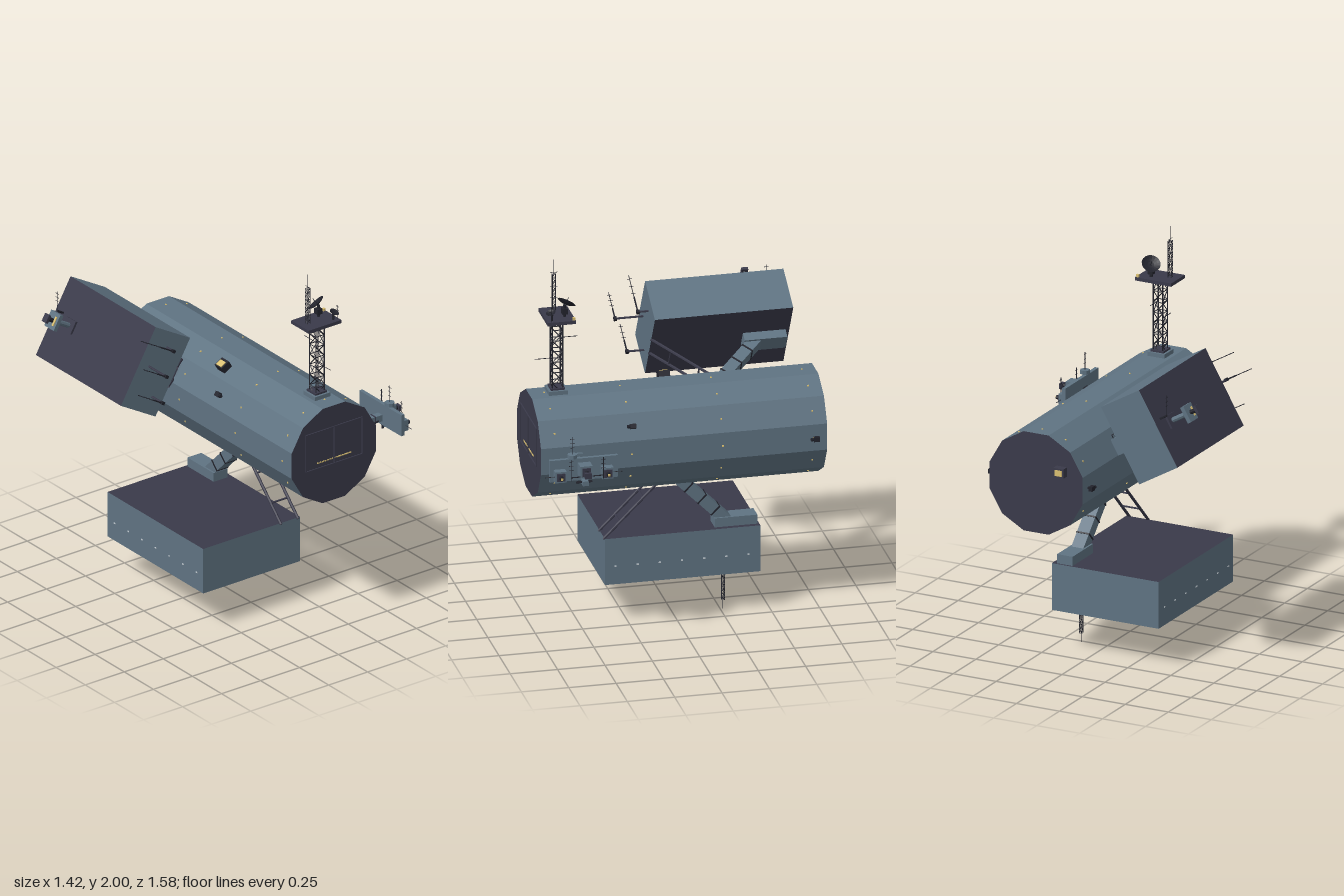
import * as THREE from 'three';

const mat = (name, color, extra = {}) => Object.assign(new THREE.MeshStandardMaterial({ color, ...extra }), { name });
const V = (x, y, z) => new THREE.Vector3(x, y, z);

export function createModel() {
  const hull = mat('hullBlueGrey', 0x5f7382);
  const dark = mat('darkSlate', 0x3a3a4a);
  const black = mat('blackMetal', 0x22232c, { side: THREE.DoubleSide });
  const gold = mat('goldLight', 0xd9bf72);
  const pale = mat('paleWindow', 0xc4ccd2);
  const root = new THREE.Group();
  root.name = 'spaceStation';

  // Helpers: faceted mesh, box, strut between two points, named group
  function add(parent, name, geo, material, x = 0, y = 0, z = 0) {
    const g = geo.index ? geo.toNonIndexed() : geo;
    g.computeVertexNormals();
    const m = new THREE.Mesh(g, material);
    m.name = name;
    m.position.set(x, y, z);
    parent.add(m);
    return m;
  }
  const box = (p, name, w, h, d, m, x, y, z) => add(p, name, new THREE.BoxGeometry(w, h, d), m, x, y, z);
  function bar(p, name, a, b, r, m, sides = 5) {
    const d = b.clone().sub(a), c = a.clone().add(b).multiplyScalar(0.5);
    const mesh = add(p, name, new THREE.CylinderGeometry(r, r, d.length(), sides), m, c.x, c.y, c.z);
    mesh.quaternion.setFromUnitVectors(V(0, 1, 0), d.normalize());
    return mesh;
  }
  function group(p, name, x = 0, y = 0, z = 0) {
    const g = new THREE.Group();
    g.name = name;
    g.position.set(x, y, z);
    p.add(g);
    return g;
  }

  // Square lattice tower rising along local y
  function lattice(p, name, w, h, bays, r) {
    const g = group(p, name), s = w / 2;
    const c = [[-s, -s], [s, -s], [s, s], [-s, s]];
    c.forEach(([x, z], i) => {
      const [x2, z2] = c[(i + 1) % 4];
      bar(g, 'leg', V(x, 0, z), V(x, h, z), r, black, 4);
      for (let k = 0; k < bays; k++) {
        const y0 = h * k / bays, y1 = h * (k + 1) / bays;
        bar(g, 'rung', V(x, y1, z), V(x2, y1, z2), r * 0.7, black, 4);
        bar(g, 'brace', V(x, k % 2 ? y1 : y0, z), V(x2, k % 2 ? y0 : y1, z2), r * 0.7, black, 4);
      }
    });
    return g;
  }

  // Thin whip antenna with cross elements, along local y
  function aerial(p, name, h, r = 0.002) {
    const g = group(p, name);
    bar(g, 'whip', V(0, 0, 0), V(0, h, 0), r, black, 4);
    for (const t of [0.5, 0.7, 0.9])
      bar(g, 'crossElement', V(0, h * t, -0.012), V(0, h * t, 0.012), r * 0.8, black, 4);
    return g;
  }

  function dish(p, name, r, x, y, z, facing) {
    const pts = [0, 0.35, 0.7, 1].map(t => new THREE.Vector2(t * r, t * t * r * 0.28));
    const m = add(p, name, new THREE.LatheGeometry(pts, 16), black, x, y, z);
    m.quaternion.setFromUnitVectors(V(0, 1, 0), facing.normalize());
    return m;
  }

  // Main twelve-sided drum
  const CX = 0.15, CY = 1.02, R = 0.27;
  const drum = group(root, 'mainDrum', CX, CY, 0);
  add(drum, 'drumHull', new THREE.CylinderGeometry(0.28, 0.28, 1.51, 12, 1, false, Math.PI / 12), [hull, dark, dark], 0, 0, 0.005)
    .rotation.x = Math.PI / 2;

  // Front hatch frame and lit window strip
  for (const y of [-0.06, 0.15]) box(drum, 'hatchFrame', 0.36, 0.004, 0.006, dark, 0, y, 0.763);
  for (const x of [-0.18, -0.005, 0.005, 0.18]) box(drum, 'hatchFrame', 0.004, 0.21, 0.006, dark, x, 0.045, 0.763);
  for (let i = 0; i < 14; i++) box(drum, 'frontWindow', 0.011, 0.006, 0.004, gold, -0.104 + i * 0.016, -0.03, 0.762);

  // Marker lights around the drum
  for (let i = 0; i < 12; i++) {
    const a = i * Math.PI / 6;
    for (const z of [0.68, 0.28, -0.2, -0.68])
      box(drum, 'markerLight', 0.008, 0.008, 0.008, gold, Math.cos(a) * R, Math.sin(a) * R, z);
  }

  // Rear lamp and the lamp on the upper shoulder
  box(drum, 'rearLampHousing', 0.06, 0.05, 0.04, dark, -0.15, 0.09, -0.77);
  box(drum, 'rearLampLens', 0.04, 0.032, 0.005, gold, -0.15, 0.09, -0.791);
  const lamp = group(drum, 'shoulderLamp', -0.145, 0.235, 0.015);
  lamp.rotation.z = Math.PI / 6;
  box(lamp, 'lampHousing', 0.055, 0.045, 0.06, black, 0, 0.01, 0);
  box(lamp, 'lampLens', 0.035, 0.005, 0.042, gold, -0.005, 0.035, 0);

  // Small cameras on the drum sides
  for (const [deg, z] of [[150, 0.105], [30, 0.27], [0, -0.69], [180, -0.69]]) {
    const c = group(drum, 'sideCamera', 0, 0, z);
    c.rotation.z = (deg - 90) * Math.PI / 180;
    bar(c, 'cameraPost', V(0, R, 0), V(0, R + 0.02, 0), 0.007, black);
    box(c, 'cameraBody', 0.025, 0.02, 0.032, black, 0, R + 0.022, 0);
    bar(c, 'cameraBarrel', V(0, R + 0.022, 0.01), V(0, R + 0.026, 0.03), 0.009, black, 8);
  }

  // Outrigger: local y points away from the drum axis
  function outrigger(name, angle, w, len, xOff, zMid, strutZ, rodZ) {
    const g = group(drum, name);
    g.rotation.z = angle;
    box(g, 'podBody', w, 0.255, len, [hull, hull, dark, dark, hull, hull], xOff, 0.6725, zMid);
    const zEnd = strutZ - 0.25;
    const strut = group(g, 'mainStrut', 0, 0.385, strutZ - 0.11);
    strut.rotation.x = -Math.PI / 4;
    box(strut, 'strutBeam', 0.07, 0.40, 0.06, hull, 0, 0, 0);
    for (const y of [-0.1, 0, 0.1]) box(strut, 'strutCollar', 0.076, 0.008, 0.066, black, 0, y, 0);
    box(g, 'strutPad', 0.09, 0.05, 0.225, hull, 0, 0.52, zEnd - 0.0375);
    for (const s of [-0.055, 0.055])
      bar(g, 'braceRod', V(s, 0.255, rodZ - 0.015), V(s, 0.55, rodZ + 0.28), 0.008, dark, 6);
    for (const t of [0.25, 0.7])
      bar(g, 'braceRung', V(-0.055, 0.27 + 0.275 * t, rodZ + 0.275 * t), V(0.055, 0.27 + 0.275 * t, rodZ + 0.275 * t), 0.005, dark);
    return g;
  }
  const lower = outrigger('lowerPod', Math.PI, 0.62, 0.82, 0.24, -0.035, -0.035, 0.1);
  const upper = outrigger('upperPod', Math.PI / 3, 0.445, 0.73, 0, -0.355, -0.3, -0.27);

  // Lower pod: windows on both long sides, hanging mast, small dish
  for (let i = 0; i < 7; i++)
    for (const x of [-0.071, 0.551])
      box(lower, 'podWindow', 0.004, 0.006, 0.012, pale, x, 0.7, 0.32 - i * 0.117);
  lattice(lower, 'hangingMast', 0.014, 0.17, 9, 0.0015).position.set(0.005, 0.8, -0.265);
  bar(lower, 'hangingMastTip', V(0.005, 0.96, -0.265), V(0.005, 1.02, -0.265), 0.0015, black, 4);
  bar(lower, 'dishPost', V(0.035, 0.8, -0.35), V(0.035, 0.83, -0.35), 0.004, black);
  dish(lower, 'lowerDish', 0.02, 0.035, 0.825, -0.35, V(0, 0.8, -0.6));

  // Upper pod: three bent aerial booms on the front face [tangent, radius, reach, length]
  for (const [x, y, z, h] of [[0.139, 0.669, 0.065, 0.24], [0.017, 0.731, 0.158, 0.17], [-0.129, 0.624, 0.1, 0.18]]) {
    bar(upper, 'aerialBoom', V(x, y, 0), V(x, y, z), 0.006, dark);
    box(upper, 'aerialJoint', 0.016, 0.02, 0.016, black, x, y, z);
    bar(upper, 'aerialBase', V(x, y, z), V(x, y + h * 0.4, z), 0.004, black);
    aerial(upper, 'boomAerial', h).position.set(x, y, z);
  }

  // Upper pod: sensor arm on the outer face
  const sensor = group(upper, 'podSensor', 0, 0.8, -0.575);
  box(sensor, 'sensorBase', 0.07, 0.012, 0.08, dark, 0, 0.006, 0);
  bar(sensor, 'sensorArm', V(0, 0, 0), V(0, 0.11, 0), 0.014, hull, 8);
  box(sensor, 'sensorPlate', 0.09, 0.022, 0.08, hull, 0, 0.12, 0);
  box(sensor, 'sensorLight', 0.05, 0.006, 0.012, gold, 0, 0.133, 0.02);
  bar(sensor, 'sensorNeck', V(0, 0.13, 0), V(0, 0.17, 0), 0.012, black, 8);
  box(sensor, 'sensorHead', 0.045, 0.016, 0.035, dark, 0, 0.175, 0);
  bar(sensor, 'sideBracket', V(0.04, 0, -0.085), V(0.04, 0.045, -0.085), 0.006, black);
  const whip = aerial(sensor, 'sideAerial', 0.11);
  whip.position.set(0.04, 0.045, -0.085);
  whip.rotation.z = -Math.PI / 3;

  // Top mast with platform
  const mast = group(root, 'topMast', CX, 1.29, 0.615);
  box(mast, 'mastFoot', 0.1, 0.025, 0.1, hull, 0, 0.01, 0);
  box(mast, 'mastCollar', 0.075, 0.012, 0.075, dark, 0, 0.027, 0);
  lattice(mast, 'mastLattice', 0.054, 0.41, 7, 0.004);
  box(mast, 'platform', 0.21, 0.018, 0.15, dark, 0, 0.42, -0.005);
  box(mast, 'platformCap', 0.08, 0.012, 0.08, hull, 0, 0.406, 0);
  bar(mast, 'spar', V(0, 0.3, -0.02), V(0, 0.3, -0.11), 0.002, black, 4);
  bar(mast, 'spar', V(0, 0.19, 0.02), V(0, 0.19, 0.115), 0.002, black, 4);
  lattice(mast, 'upperLattice', 0.018, 0.2, 9, 0.0018).position.set(-0.058, 0.43, 0);
  bar(mast, 'mastTip', V(-0.058, 0.62, 0), V(-0.058, 0.71, 0), 0.0018, black, 4);
  for (const y of [0.5, 0.56, 0.64])
    bar(mast, 'tipCross', V(-0.058, y, -0.02), V(-0.058, y, 0.02), 0.0015, black, 4);
  bar(mast, 'dishPost', V(0.035, 0.42, -0.035), V(0.035, 0.495, -0.035), 0.008, black, 6);
  box(mast, 'dishMount', 0.03, 0.03, 0.03, black, 0.035, 0.46, -0.035);
  dish(mast, 'mainDish', 0.05, 0.035, 0.495, -0.04, V(-0.45, 0.75, -0.5));
  bar(mast, 'dishFeed', V(0.035, 0.495, -0.04), V(0.018, 0.525, -0.06), 0.002, black, 4);
  bar(mast, 'smallDishPost', V(0.075, 0.42, 0.04), V(0.075, 0.47, 0.04), 0.006, black);
  dish(mast, 'smallDish', 0.026, 0.075, 0.468, 0.045, V(0.2, 0.9, 0.35));
  box(mast, 'platformLight', 0.014, 0.014, 0.014, gold, 0.095, 0.436, -0.07);
  aerial(mast, 'platformAerial', 0.09).position.set(0.095, 0.42, 0.05);

  // Side array on the model's left
  const arr = group(root, 'sideArray', 0, 1.02, 0.577);
  box(arr, 'arrayArm', 0.17, 0.036, 0.036, hull, 0.5, 0, 0);
  for (const x of [0.46, 0.5, 0.54]) box(arr, 'armCollar', 0.006, 0.042, 0.042, dark, x, 0, 0);
  box(arr, 'armFoot', 0.02, 0.07, 0.07, hull, 0.425, 0, 0);
  for (const s of [-1, 1]) bar(arr, 'armStay', V(0.42, 0, s * 0.062), V(0.55, 0, s * 0.032), 0.004, black);
  box(arr, 'arrayPlate', 0.02, 0.12, 0.36, hull, 0.595, 0.02, 0);
  bar(arr, 'lowerPost', V(0.6, -0.07, 0), V(0.6, 0, 0), 0.006, black);
  for (const [y, z, s, d] of [[0, 0.13, 0.06, 0.04], [0.025, 0, 0.065, 0.06], [0, -0.118, 0.06, 0.04]]) {
    box(arr, 'instrumentBox', d, s, s, hull, 0.605 + d / 2, y, z);
    box(arr, 'instrumentFace', 0.008, s * 0.7, s * 0.7, dark, 0.607 + d, y, z);
    bar(arr, 'instrumentBarrel', V(0.605 + d, y, z), V(0.63 + d, y, z), 0.012, black, 8);
    box(arr, 'instrumentLight', 0.004, 0.012, 0.012, gold, 0.632 + d, y, z);
    if (z) bar(arr, 'endWhip', V(0.63, y, z), V(0.63, y, z + Math.sign(z) * 0.08), 0.002, black, 4);
  }
  bar(arr, 'centreProbe', V(0.66, 0.02, 0.0), V(0.7, 0.02, 0.0), 0.009, black, 8);
  box(arr, 'probeHead', 0.018, 0.03, 0.035, dark, 0.7, 0.02, 0);
  bar(arr, 'lowSensorBar', V(0.62, -0.045, -0.04), V(0.62, -0.045, 0.045), 0.006, black);
  box(arr, 'lowSensor', 0.05, 0.025, 0.03, hull, 0.625, -0.045, 0);
  bar(arr, 'topDrum', V(0.6, 0.085, 0.06), V(0.6, 0.105, 0.06), 0.026, hull, 8);
  aerial(arr, 'arrayAerial', 0.12).position.set(0.6, 0.08, 0.06);
  for (const z of [-0.09, 0.08]) aerial(arr, 'frontAerial', 0.12).position.set(0.66, -0.02, z);
  bar(arr, 'aerialRail', V(0.66, 0.0, -0.09), V(0.66, 0.0, 0.08), 0.003, black);

  return root;
}
